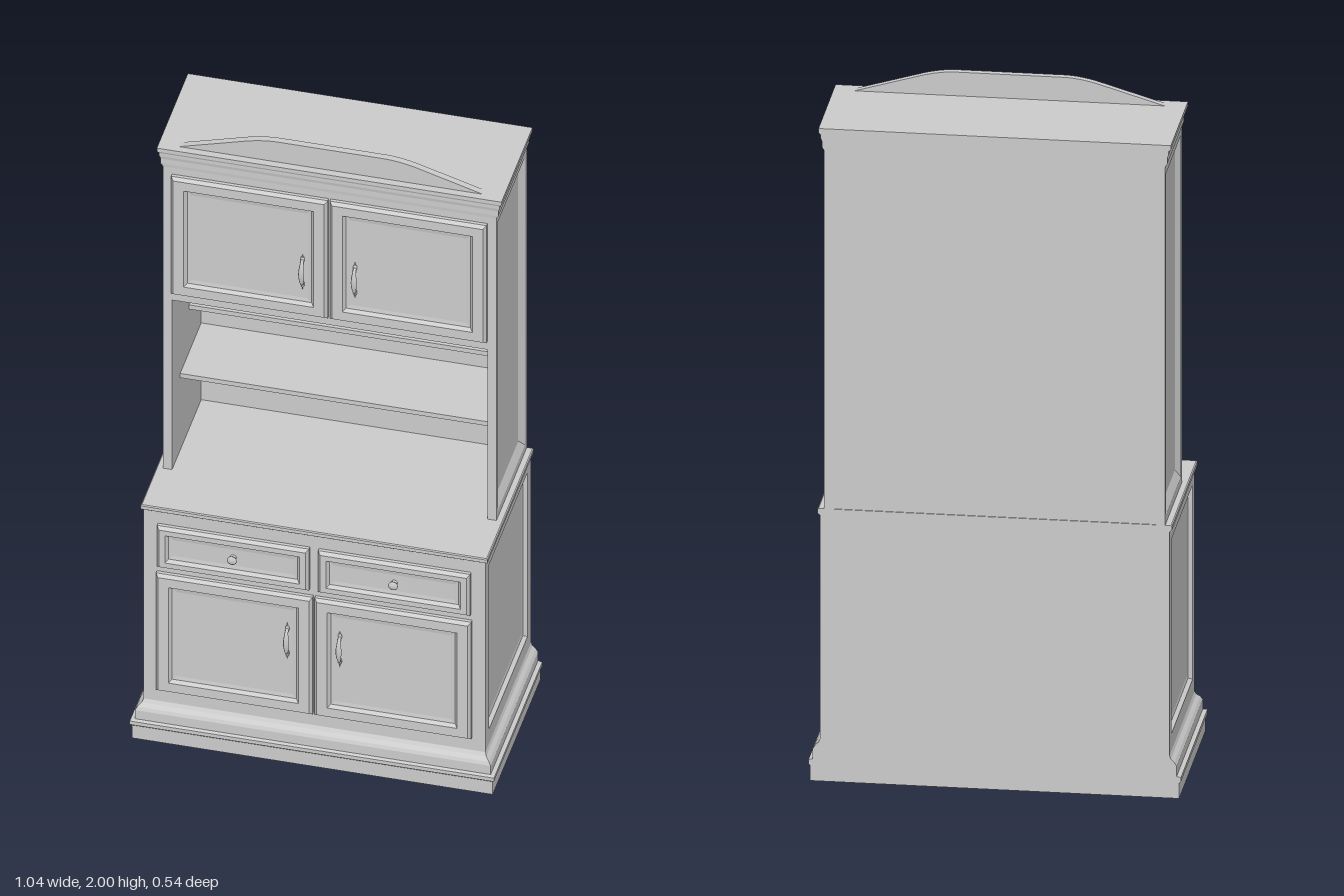
import * as THREE from 'three';

const material = new THREE.MeshStandardMaterial({ color: 0xcccccc, side: THREE.DoubleSide });
const BACK = -0.27;

// Crisp-edged loft through rectangles [x0, x1, y0, y1, depth], capped at both ends
function rectLoft(rects) {
  const loops = rects.map(([x0, x1, y0, y1, d]) => [[x0, y0, d], [x1, y0, d], [x1, y1, d], [x0, y1, d]]);
  const pos = [];
  const quad = (a, b, c, d) => pos.push(...a, ...b, ...c, ...a, ...c, ...d);
  for (let k = 0; k < loops.length - 1; k++) {
    for (let i = 0; i < 4; i++) {
      const j = (i + 1) % 4;
      quad(loops[k][i], loops[k][j], loops[k + 1][j], loops[k + 1][i]);
    }
  }
  quad(...loops[loops.length - 1]);
  quad(...[...loops[0]].reverse());
  const g = new THREE.BufferGeometry();
  g.setAttribute('position', new THREE.Float32BufferAttribute(pos, 3));
  g.computeVertexNormals();
  return g;
}

function add(parent, name, geometry, x = 0, y = 0, z = 0) {
  const mesh = new THREE.Mesh(geometry, material);
  mesh.name = name;
  mesh.position.set(x, y, z);
  parent.add(mesh);
  return mesh;
}

// Box given by its limits
function block(parent, name, x0, x1, y0, y1, z0, z1) {
  return add(parent, name, new THREE.BoxGeometry(x1 - x0, y1 - y0, z1 - z0),
    (x0 + x1) / 2, (y0 + y1) / 2, (z0 + z1) / 2);
}

// Moulding that runs round the front and sides; tiers are [halfWidth, frontZ, y]
function moulding(parent, name, tiers) {
  const g = rectLoft(tiers.map(([w, zf, y]) => [-w, w, -zf, -BACK, y]));
  return add(parent, name, g.rotateX(-Math.PI / 2));
}

// Door or drawer front with a chamfered rim and a sunk field
function sunkFront(parent, name, x0, x1, y0, y1, z, frame) {
  const steps = [[0, 0], [0, 0.01], [0.008, 0.02], [frame, 0.02], [frame + 0.008, 0.01], [frame + 0.02, 0.008]];
  return add(parent, name, rectLoft(steps.map(([i, d]) => [x0 + i, x1 - i, y0 + i, y1 - i, z + d])));
}

// Side board with a recessed field; rects hold [z0, z1, y0, y1, x]
function sideBoard(parent, name, side, rects) {
  const local = rects.map(([z0, z1, y0, y1, x]) => side > 0 ? [-z1, -z0, y0, y1, x] : [z0, z1, y0, y1, x]);
  return add(parent, name, rectLoft(local).rotateY(side * Math.PI / 2));
}

// Bowed pull with feet and pointed ends
function pull(parent, x, y, z) {
  const group = new THREE.Group();
  group.name = 'doorPull';
  group.position.set(x, y, z);
  const curve = new THREE.CatmullRomCurve3([[-0.042, 0], [-0.036, 0.009], [-0.015, 0.015], [0.015, 0.015], [0.036, 0.009], [0.042, 0]]
    .map(([py, pz]) => new THREE.Vector3(0, py, pz)));
  const bow = new THREE.TubeGeometry(curve, 24, 0.004, 8);
  // swell the middle of the bow
  const p = bow.attributes.position;
  for (let i = 0; i < p.count; i++) p.setX(i, p.getX(i) * (1 + 1.1 * Math.cos(p.getY(i) * Math.PI / 0.1) ** 2));
  bow.computeVertexNormals();
  add(group, 'pullBow', bow);
  for (const s of [-1, 1]) {
    add(group, 'pullFoot', new THREE.SphereGeometry(1, 12, 8).scale(0.006, 0.011, 0.004), 0, s * 0.043, 0);
    const tip = add(group, 'pullTip', new THREE.ConeGeometry(0.003, 0.014, 8), 0, s * 0.057, 0.001);
    if (s < 0) tip.rotation.z = Math.PI;
  }
  parent.add(group);
}

// Turned knob
function knob(parent, x, y, z) {
  const profile = [[0.009, 0], [0.009, 0.002], [0.005, 0.005], [0.005, 0.009], [0.013, 0.013], [0.014, 0.016], [0.010, 0.02], [0, 0.021]]
    .map(([r, h]) => new THREE.Vector2(r, h));
  add(parent, 'drawerKnob', new THREE.LatheGeometry(profile, 20).rotateX(Math.PI / 2), x, y, z);
}

function createModel() {
  const model = new THREE.Group();
  model.name = 'hutchCabinet';

  // Lower cabinet
  const base = new THREE.Group();
  base.name = 'baseCabinet';
  model.add(base);
  moulding(base, 'plinth', [[0.515, 0.265, 0], [0.515, 0.265, 0.045], [0.52, 0.27, 0.05], [0.52, 0.27, 0.062],
    [0.508, 0.26, 0.065], [0.508, 0.26, 0.095], [0.502, 0.256, 0.105], [0.492, 0.246, 0.115], [0.488, 0.24, 0.125]]);
  block(base, 'baseBody', -0.47, 0.47, 0.12, 0.79, BACK, 0.24);
  moulding(base, 'counterTop', [[0.488, 0.24, 0.787], [0.495, 0.246, 0.792], [0.495, 0.246, 0.803], [0.492, 0.243, 0.806]]);

  // Hutch: open niche with shelves under a closed cupboard
  const hutch = new THREE.Group();
  hutch.name = 'hutch';
  model.add(hutch);
  block(hutch, 'hutchBack', -0.452, 0.452, 0.8, 1.41, -0.267, -0.255);
  block(hutch, 'cupboardBody', -0.452, 0.452, 1.4, 1.875, -0.267, 0.07);
  block(hutch, 'upperShelf', -0.452, 0.452, 1.225, 1.24, -0.256, -0.12);
  block(hutch, 'lowerShelf', -0.452, 0.452, 1.06, 1.075, -0.256, -0.02);
  moulding(hutch, 'cornice', [[0.476, 0.071, 1.865], [0.482, 0.072, 1.875], [0.482, 0.072, 1.892], [0.486, 0.074, 1.902],
    [0.486, 0.074, 1.912], [0.492, 0.077, 1.918], [0.492, 0.077, 1.93]]);

  // Arched crest on the cornice
  const crest = new THREE.Shape();
  crest.moveTo(-0.44, 1.928);
  crest.lineTo(-0.24, 1.987);
  crest.quadraticCurveTo(-0.19, 2, -0.15, 2);
  crest.lineTo(0.15, 2);
  crest.quadraticCurveTo(0.19, 2, 0.24, 1.987);
  crest.lineTo(0.44, 1.928);
  add(hutch, 'crest', new THREE.ExtrudeGeometry(crest, { depth: 0.02, bevelEnabled: false }), 0, 0, 0.035);

  for (const s of [-1, 1]) {
    // Panelled sides
    sideBoard(base, 'baseSide', s, [[BACK, 0.24, 0.12, 0.79, 0.46], [BACK, 0.24, 0.12, 0.79, 0.488],
      [-0.23, 0.2, 0.175, 0.75, 0.488], [-0.225, 0.195, 0.18, 0.745, 0.476], [-0.215, 0.185, 0.19, 0.735, 0.474]]);
    sideBoard(hutch, 'hutchSide', s, [[BACK, 0.07, 0.804, 1.87, 0.45], [BACK, 0.07, 0.804, 1.87, 0.476],
      [-0.25, 0.05, 0.83, 1.84, 0.476], [-0.228, 0.028, 0.857, 1.815, 0.462]]);

    // Doors, drawers and their hardware
    const span = (a, b) => s > 0 ? [a, b] : [-b, -a];
    sunkFront(base, 'baseDoor', ...span(0.003, 0.45), 0.17, 0.58, 0.24, 0.038);
    sunkFront(base, 'drawerFront', ...span(0.013, 0.447), 0.602, 0.747, 0.24, 0.025);
    sunkFront(hutch, 'cupboardDoor', ...span(0.003, 0.45), 1.43, 1.842, 0.07, 0.038);
    knob(base, s * 0.23, 0.675, 0.248);
    pull(base, s * 0.075, 0.415, 0.25);
    pull(hutch, s * 0.075, 1.58, 0.08);
  }
  return model;
}

export { createModel };
